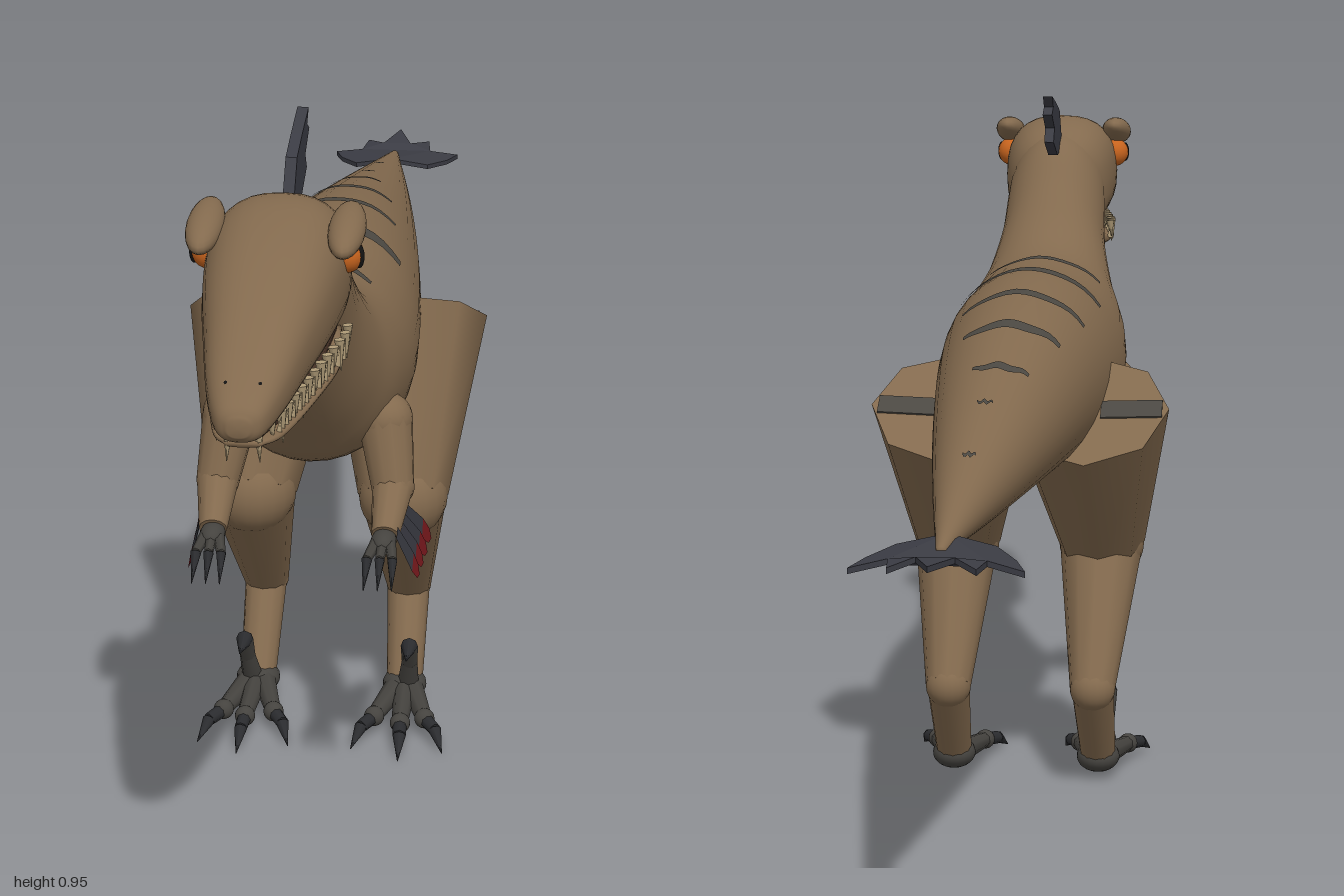
import * as THREE from 'three';

const mat = (name, color, side = THREE.FrontSide) => {
  const m = new THREE.MeshStandardMaterial({ color, side });
  m.name = name;
  return m;
};
const V = (x, y, z) => new THREE.Vector3(x, y, z);

// Smooth surface through rings given as [topZ, topY, bottomZ, bottomY, halfWidth]
function makeSurface(rings, boxy = 1) {
  const top = new THREE.CatmullRomCurve3(rings.map(r => V(r[4], r[1], r[0])), false, 'catmullrom');
  const bottom = new THREE.CatmullRomCurve3(rings.map(r => V(0, r[3], r[2])), false, 'catmullrom');
  const pow = v => Math.sign(v) * Math.abs(v) ** boxy;
  return (t, angle, grow = 1) => {
    const a = top.getPoint(t), b = bottom.getPoint(t);
    const c = pow(Math.cos(angle)) * grow;
    return V(a.x * pow(Math.sin(angle)) * grow,
      (a.y + b.y) / 2 + c * (a.y - b.y) / 2,
      (a.z + b.z) / 2 + c * (a.z - b.z) / 2);
  };
}

function geometryFrom(points, index) {
  const g = new THREE.BufferGeometry().setFromPoints(points);
  g.setIndex(index);
  g.computeVertexNormals();
  return g;
}

// Closed loft of a surface, capped at both ends
function loft(surface, steps, segs = 32) {
  const pts = [], idx = [];
  for (let i = 0; i <= steps; i++)
    for (let j = 0; j < segs; j++) pts.push(surface(i / steps, j / segs * Math.PI * 2));
  for (let i = 0; i < steps; i++)
    for (let j = 0; j < segs; j++) {
      const k = (j + 1) % segs, a = i * segs, b = a + segs;
      idx.push(a + j, b + j, a + k, b + j, b + k, a + k);
    }
  const first = pts.length;
  pts.push(surface(0, 0, 0), surface(1, 0, 0));
  for (let j = 0; j < segs; j++) {
    const k = (j + 1) % segs, e = steps * segs;
    idx.push(first, j, k, first + 1, e + k, e + j);
  }
  return geometryFrom(pts, idx);
}

export function createModel() {
  const root = new THREE.Group();
  root.name = 'raptor';
  const hide = mat('brown hide', 0x836a4e);
  const stripeMat = mat('stripe grey', 0x4b4842, THREE.DoubleSide);
  const plume = mat('slate feather', 0x3b3c44, THREE.DoubleSide);
  const red = mat('red feather tip', 0x7c1a1e, THREE.DoubleSide);
  const scale = mat('grey foot skin', 0x45433f);
  const claw = mat('dark claw', 0x2b2c2f);
  const toothMat = mat('tooth', 0xb09c78);
  const mouth = mat('mouth', 0x4a3428);
  const orange = mat('orange iris', 0xc8641e);
  const black = mat('black pupil', 0x121212);

  const add = (name, geo, material, pos) => {
    const m = new THREE.Mesh(geo, material);
    m.name = name;
    if (pos) m.position.copy(pos);
    root.add(m);
    return m;
  };
  const limb = (name, a, b, ra, rb, material, segs = 12) => {
    const d = b.clone().sub(a);
    const m = add(name, new THREE.CylinderGeometry(rb, ra, d.length(), segs), material,
      a.clone().add(b).multiplyScalar(0.5));
    m.quaternion.setFromUnitVectors(V(0, 1, 0), d.normalize());
    return m;
  };
  const ball = (name, p, r, material, sx = 1, sy = 1, sz = 1) => {
    const m = add(name, new THREE.SphereGeometry(r, 20, 14), material, p);
    m.scale.set(sx, sy, sz);
    return m;
  };

  // Tail, trunk and neck
  const bodySurface = makeSurface([
    [-0.88, 0.542, -0.88, 0.53, 0.006], [-0.6, 0.6, -0.6, 0.507, 0.046],
    [-0.35, 0.652, -0.35, 0.488, 0.078], [-0.1, 0.702, -0.1, 0.468, 0.106],
    [0.1, 0.726, 0.1, 0.446, 0.124], [0.24, 0.724, 0.23, 0.438, 0.129],
    [0.33, 0.728, 0.36, 0.475, 0.12], [0.4, 0.757, 0.43, 0.53, 0.099],
    [0.46, 0.815, 0.51, 0.61, 0.08], [0.52, 0.875, 0.58, 0.69, 0.074],
    [0.6, 0.895, 0.62, 0.72, 0.07]]);
  add('body', loft(bodySurface, 60), hide);

  // Painted back stripes: [z, half length, minX, maxX] following the skin
  const findT = z => {
    let lo = 0, hi = 1;
    for (let i = 0; i < 24; i++) {
      const mid = (lo + hi) / 2;
      if (bodySurface(mid, 0).z < z) lo = mid; else hi = mid;
    }
    return lo;
  };
  for (const [z, h, x0, x1] of [[0.295, 0.013, -0.085, 0.075], [0.14, 0.021, -0.098, 0.098],
    [-0.015, 0.014, -0.088, 0.078], [-0.16, 0.016, -0.068, 0.06],
    [-0.315, 0.012, -0.042, 0.03], [-0.44, 0.006, -0.01, 0.01], [-0.61, 0.007, -0.008, 0.008]]) {
    const w = bodySurface(findT(z), Math.PI / 2).x, n = 14, pts = [], idx = [];
    for (let i = 0; i <= n; i++) {
      const a = THREE.MathUtils.lerp(Math.asin(x0 / w), Math.asin(x1 / w), i / n);
      const half = h * (0.45 + 0.55 * Math.sin(Math.PI * i / n)), zc = z + 0.004 * Math.sin(i);
      for (const e of [-1, 0, 1]) pts.push(bodySurface(findT(zc + e * half), a, 1.016));
      if (i < n) for (const e of [0, 1]) {
        const q = i * 3 + e;
        idx.push(q, q + 1, q + 3, q + 1, q + 4, q + 3);
      }
    }
    add('backStripe', geometryFrom(pts, idx), stripeMat);
  }

  // Head and lower jaw
  const head = makeSurface([
    [0.52, 0.865, 0.52, 0.73, 0.05], [0.57, 0.897, 0.57, 0.728, 0.076],
    [0.64, 0.908, 0.64, 0.736, 0.085], [0.74, 0.886, 0.74, 0.738, 0.077],
    [0.84, 0.85, 0.84, 0.738, 0.061], [0.93, 0.812, 0.93, 0.738, 0.045],
    [0.985, 0.785, 0.985, 0.738, 0.029], [1, 0.768, 1, 0.748, 0.012]], 0.8);
  add('head', loft(head, 36), hide);
  const jaw = makeSurface([[0.56, 0.74, 0.56, 0.706, 0.066], [0.66, 0.728, 0.66, 0.706, 0.076],
    [0.8, 0.726, 0.8, 0.712, 0.06], [0.92, 0.73, 0.92, 0.718, 0.04],
    [0.965, 0.732, 0.965, 0.724, 0.02]], 0.7);
  add('lowerJaw', loft(jaw, 20), hide);
  const gum = makeSurface([[0.58, 0.75, 0.58, 0.718, 0.062], [0.8, 0.75, 0.8, 0.718, 0.052],
    [0.96, 0.75, 0.96, 0.726, 0.018]], 0.7);
  add('mouthLining', loft(gum, 12), mouth);

  // Head crest
  const crest = new THREE.Shape([[0.56, 0.865], [0.515, 0.925], [0.46, 0.94], [0.393, 0.955],
    [0.41, 0.938], [0.388, 0.928], [0.43, 0.905], [0.415, 0.885], [0.48, 0.86]]
    .map(p => new THREE.Vector2(...p)));
  add('crest', new THREE.ExtrudeGeometry(crest, { depth: 0.014, bevelEnabled: false })
    .translate(0, 0, -0.007).rotateY(-Math.PI / 2), plume);

  // Tail fan, drooping slightly to the sides
  const half = [[0.022, -0.93], [0.05, -0.965], [0.056, -0.912], [0.1, -0.925], [0.086, -0.88], [0.058, -0.83]];
  const outline = [[0, -1], ...half, [0, -0.82], ...half.map(([x, z]) => [-x, z]).reverse()];
  const fan = new THREE.ExtrudeGeometry(new THREE.Shape(outline.map(p => new THREE.Vector2(...p))),
    { depth: 0.007, bevelEnabled: false }).rotateX(Math.PI / 2);
  const fp = fan.attributes.position;
  for (let i = 0; i < fp.count; i++) fp.setY(i, fp.getY(i) + 0.545 - Math.abs(fp.getX(i)) * 0.2);
  fan.computeVertexNormals();
  add('tailFan', fan, plume);

  for (const s of [1, -1]) {
    const P = (x, y, z) => V(s * x, y, z);

    // Eye, brow and nostril
    ball('eye', P(0.08, 0.85, 0.655), 0.022, orange);
    ball('pupil', P(0.097, 0.85, 0.661), 0.012, black, 0.5, 1.2, 0.4);
    ball('brow', P(0.083, 0.883, 0.665), 0.022, hide, 1, 0.85, 2.9).rotation.x = 0.2;
    ball('nostril', P(0.018, 0.795, 0.955), 0.004, black, 1, 0.7, 1.5);

    // Teeth along both jaws
    for (let i = 0; i < 14; i++) {
      const z = 0.61 + i * 0.027, x = 0.086 - Math.max(0, z - 0.64) * 0.16 - Math.max(0, z - 0.92) * 0.25;
      const len = i === 13 ? 0.042 : 0.025 + 0.007 * (i % 3);
      limb('upperTooth', P(x - 0.008, 0.748, z), P(x - 0.006, 0.748 - len, z), 0.007, 0.0005, toothMat, 6);
      if (i < 12) limb('lowerTooth', P(x - 0.01, 0.72, z + 0.013), P(x - 0.006, 0.745, z + 0.013), 0.005, 0.0005, toothMat, 6);
    }

    // Leg
    const hip = P(0.095, 0.552, -0.01), knee = P(0.104, 0.34, 0.125);
    const ankle = P(0.102, 0.155, -0.005), foot = P(0.104, 0.035, 0.078);
    const thigh = limb('thigh', knee, hip, 0.062, 0.112, hide, 8);
    ball('knee', knee, 0.061, hide);
    limb('shin', knee, ankle, 0.06, 0.032, hide);
    ball('ankle', ankle, 0.032, hide);
    limb('metatarsal', ankle, foot, 0.03, 0.025, hide);

    // Painted stripe across the top of the thigh
    const bar = new THREE.Mesh(new THREE.BoxGeometry(0.085, 0.003, 0.034), stripeMat);
    bar.name = 'thighStripe';
    bar.position.set(s * 0.06, thigh.geometry.parameters.height / 2 + 0.001, 0);
    thigh.add(bar);

    // Toes, fanned, each with a hooked claw
    ball('footPad', foot, 0.028, scale, 1.1, 0.8, 1.2);
    for (const [dx, reach] of [[-0.045, 0.15], [0.005, 0.18], [0.048, 0.15]]) {
      const a = P(0.104 + dx * 0.2, 0.035, 0.085);
      const b = P(0.104 + dx * 0.75, 0.028, 0.085 + reach * 0.6);
      const c = P(0.104 + dx * 1.1, 0.024, 0.085 + reach * 0.78);
      limb('toe', a, b, 0.017, 0.011, scale, 8);
      ball('toeKnuckle', b, 0.014, scale);
      limb('toeClawBase', b, c, 0.01, 0.009, claw, 8);
      limb('toeClaw', c, P(0.104 + dx * 1.35, 0.005, 0.085 + reach), 0.009, 0.0005, claw, 8);
    }
    // Raised sickle claw
    const k1 = P(0.114, 0.085, 0.115), k2 = P(0.115, 0.118, 0.135);
    limb('sickleToe', P(0.11, 0.04, 0.09), k1, 0.015, 0.011, scale, 8);
    limb('sickleToeTip', k1, k2, 0.011, 0.012, scale, 8);
    limb('sickleClaw', k2, P(0.115, 0.12, 0.19), 0.012, 0.0005, claw, 8);

    // Arm
    const shoulder = P(0.1, 0.535, 0.355), elbow = P(0.113, 0.455, 0.385), wrist = P(0.11, 0.415, 0.455);
    ball('shoulder', shoulder, 0.036, hide);
    limb('upperArm', shoulder, elbow, 0.036, 0.028, hide);
    ball('elbow', elbow, 0.028, hide);
    limb('forearm', elbow, wrist, 0.027, 0.018, hide);
    ball('hand', P(0.109, 0.412, 0.465), 0.018, scale, 0.9, 0.8, 1.4);
    for (const dx of [-0.016, 0, 0.016]) {
      const f = P(0.108 + dx, 0.405, 0.51);
      limb('finger', P(0.109 + dx * 0.5, 0.413, 0.468), f, 0.008, 0.006, scale, 6);
      limb('fingerClaw', f, P(0.108 + dx * 1.1, 0.375, 0.54), 0.007, 0.0005, claw, 6);
    }

    // Arm feathers with red tips
    for (let i = 0; i < 4; i++) {
      const from = P(0.126, 0.425 + i * 0.004, 0.468 - i * 0.02);
      const to = P(0.15 + i * 0.002, 0.342 + (i === 3 ? 0.004 : 0), 0.405 - i * 0.038);
      const side = to.clone().sub(from).cross(V(1, 0, 0)).normalize();
      const at = (t, w) => from.clone().lerp(to, t).addScaledVector(side, w);
      add('armFeather', geometryFrom([at(0, -0.009), at(0, 0.009), at(0.7, -0.014), at(0.7, 0.014)],
        [0, 1, 2, 1, 3, 2]), plume);
      add('armFeatherTip', geometryFrom([at(0.7, -0.014), at(0.7, 0.014), at(0.92, -0.01), at(0.92, 0.01), at(1, 0)],
        [0, 1, 2, 1, 3, 2, 2, 3, 4]), red);
    }
  }
  return root;
}
